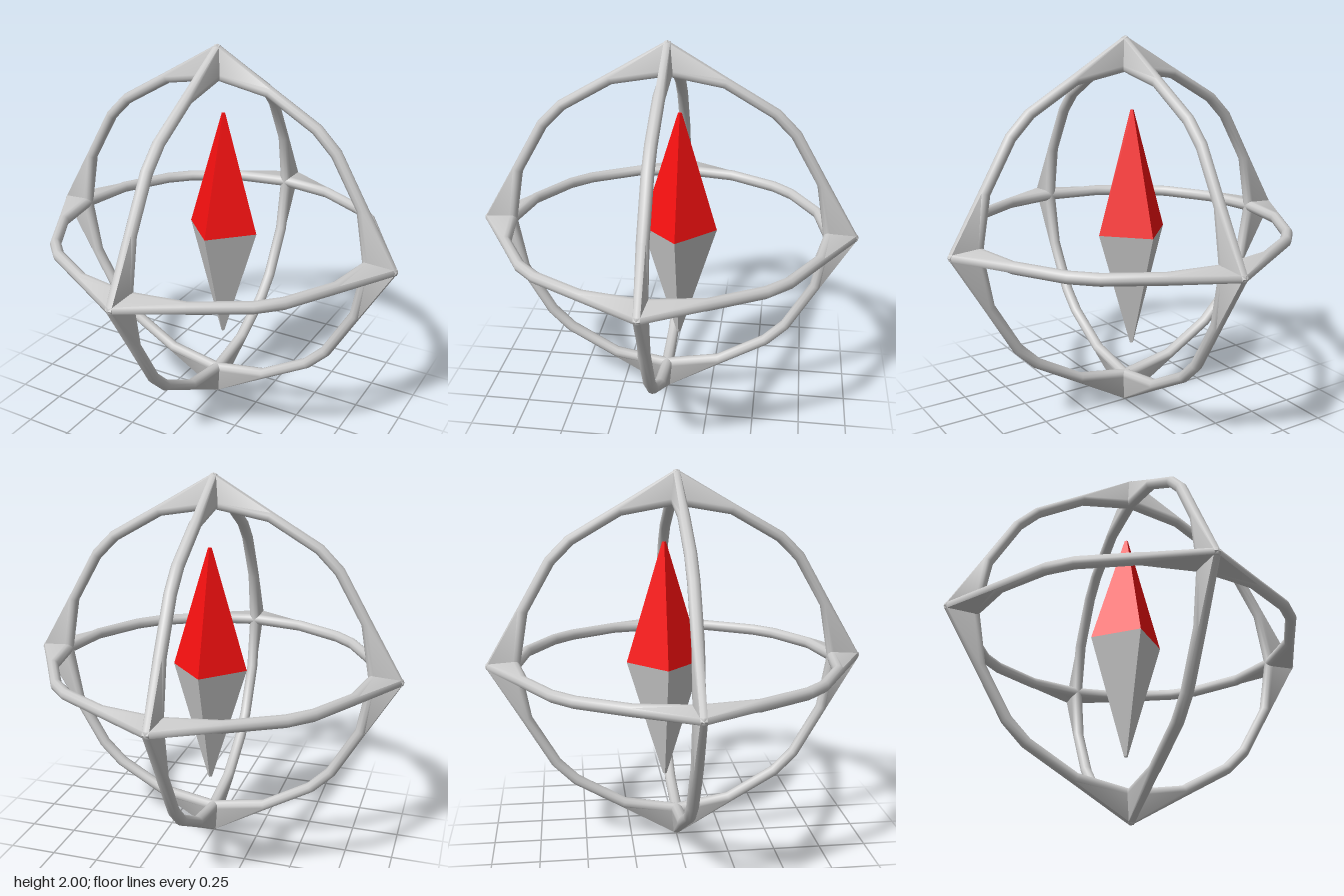
import * as THREE from 'three';
import { toCreasedNormals } from 'three/addons/utils/BufferGeometryUtils.js';

const grey = new THREE.MeshStandardMaterial({ color: 0xcccccc });
const red = new THREE.MeshStandardMaterial({ color: 0xf81010 });

// Faceted hoop in the XY plane, its outer edge pulled to a point at every quarter turn
function hoopGeometry() {
  const sides = 10, radius = 0.848, tube = 0.029;
  const angles = [];
  for (let q = 0; q < 4; q++) for (const a of [0, 20, 40, 50, 70]) angles.push(q * 90 + a);

  const positions = [], index = [];
  angles.forEach((deg, i) => {
    const a = THREE.MathUtils.degToRad(deg);
    const next = (i + 1) % angles.length;
    for (let j = 0; j < sides; j++) {
      const phi = (j / sides) * Math.PI * 2;
      const c = Math.cos(phi), s = Math.sin(phi);
      let r = radius + tube * c;
      let z = 0.031 * s;
      if (deg % 90 === 0 && c > 0.5) {
        r = 0.97 + 0.03 * c;
        z *= 0.9;
      }
      positions.push(r * Math.cos(a), r * Math.sin(a), z);
      const k = (j + 1) % sides;
      const p = i * sides + j, q = next * sides + j;
      const u = next * sides + k, v = i * sides + k;
      index.push(p, q, u, p, u, v);
    }
  });
  const geo = new THREE.BufferGeometry();
  geo.setAttribute('position', new THREE.Float32BufferAttribute(positions, 3));
  geo.setIndex(index);
  return toCreasedNormals(geo, 0.8);
}

// Half of the four-sided needle, waist at the origin
function needleHalf(name, material, direction) {
  const height = 0.635, tip = 0.01, waist = 0.2;
  const geo = new THREE.CylinderGeometry(
    direction > 0 ? tip : waist, direction > 0 ? waist : tip, height, 4
  ).toNonIndexed();
  geo.computeVertexNormals();
  const mesh = new THREE.Mesh(geo, material);
  mesh.name = name;
  mesh.position.y = direction * height / 2;
  return mesh;
}

export function createModel() {
  const model = new THREE.Group();
  model.name = 'compassSphere';

  // Cage of three crossing hoops
  const cage = new THREE.Group();
  cage.name = 'cage';
  cage.position.y = 1;
  const geo = hoopGeometry();
  const hoops = [
    ['frontHoop', 0, 0],
    ['sideHoop', 0, Math.PI / 2],
    ['levelHoop', Math.PI / 2, 0],
  ];
  for (const [name, rx, ry] of hoops) {
    const hoop = new THREE.Mesh(geo, grey);
    hoop.name = name;
    hoop.rotation.set(rx, ry, 0);
    cage.add(hoop);
  }
  model.add(cage);

  // Floating needle, slightly behind the centre
  const needle = new THREE.Group();
  needle.name = 'needle';
  needle.position.set(0, 1, -0.064);
  needle.add(needleHalf('upperNeedle', red, 1), needleHalf('lowerNeedle', grey, -1));
  model.add(needle);

  return model;
}
